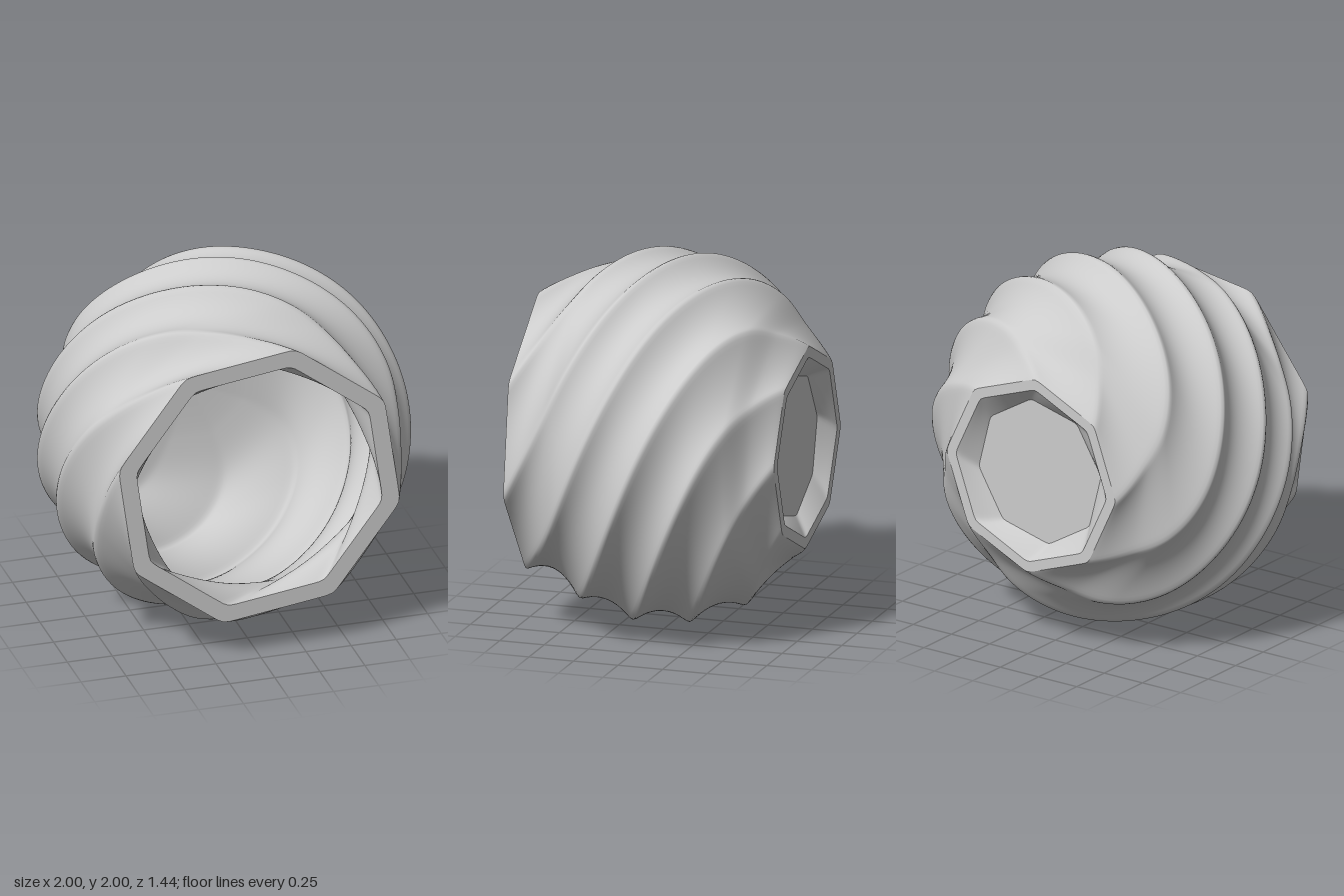
import * as THREE from 'three';

const SIDES = 8;
const AROUND = 160;
const TWIST = THREE.MathUtils.degToRad(137); // turn per unit of depth
const PHASE = THREE.MathUtils.degToRad(30.5); // corner angle at the front rim
const FRONT = 0.72;

// Radius of a slightly rounded octagon whose corner (at angle 0) is 1
function octagon(angle) {
  const step = (Math.PI * 2) / SIDES, power = 70;
  const at = (a) => {
    let sum = 0;
    for (let s = 0; s < SIDES; s++) sum += Math.max(0, Math.cos(a - (s + 0.5) * step)) ** power;
    return sum ** (-1 / power);
  };
  return at(angle) / at(0);
}

// Lofts twisted octagons along a profile of [corner radius, z] points
function loft(name, profile, rows, smooth, material) {
  const points = profile.map(([r, z]) => new THREE.Vector2(r, z));
  const path = smooth ? new THREE.SplineCurve(points) : new THREE.Path(points);
  const position = [], index = [];
  for (let i = 0; i <= rows; i++) {
    const p = path.getPointAt(i / rows);
    const turn = PHASE + (FRONT - p.y) * TWIST;
    for (let j = 0; j < AROUND; j++) {
      const a = (j / AROUND) * Math.PI * 2;
      const r = p.x * octagon(a);
      position.push(r * Math.cos(a + turn), 1 + r * Math.sin(a + turn), p.y);
      if (i === rows) continue;
      const k = (j + 1) % AROUND;
      const a0 = i * AROUND + j, b0 = i * AROUND + k;
      index.push(a0, b0, b0 + AROUND, a0, b0 + AROUND, a0 + AROUND);
    }
  }
  const geometry = new THREE.BufferGeometry();
  geometry.setAttribute('position', new THREE.Float32BufferAttribute(position, 3));
  geometry.setIndex(index);
  geometry.computeVertexNormals();
  const mesh = new THREE.Mesh(geometry, material);
  mesh.name = name;
  return mesh;
}

export function createModel() {
  const group = new THREE.Group();
  group.name = 'twistedPot';
  const grey = new THREE.MeshStandardMaterial({ color: 0xcccccc });

  // Recessed underside: flat floor, sloping wall, foot ring
  group.add(loft('baseFloor', [[0.001, -0.64], [0.4, -0.64]], 2, false, grey));
  group.add(loft('baseWall', [[0.4, -0.64], [0.49, -0.72]], 4, false, grey));
  group.add(loft('footRing', [[0.49, -0.72], [0.55, -0.72]], 2, false, grey));

  // Swirling outer wall
  group.add(loft('outerWall', [
    [0.55, -0.72], [0.572, -0.7], [0.67, -0.6], [0.8, -0.5], [0.9, -0.37], [0.965, -0.2],
    [1.0, -0.04], [1.0, 0.11], [0.98, 0.26], [0.935, 0.39], [0.87, 0.5], [0.825, 0.6], [0.8, 0.72],
  ], 130, true, grey));

  // Flat front rim
  group.add(loft('rim', [[0.8, 0.72], [0.7, 0.72]], 2, false, grey));

  // Swirling hollow with a rounded bottom
  group.add(loft('innerBowl', [
    [0.7, 0.72], [0.675, 0.61], [0.72, 0.5], [0.8, 0.39], [0.86, 0.25], [0.89, 0.08],
    [0.88, -0.08], [0.83, -0.24], [0.73, -0.38], [0.56, -0.49], [0.32, -0.54], [0.001, -0.56],
  ], 130, true, grey));

  return group;
}
